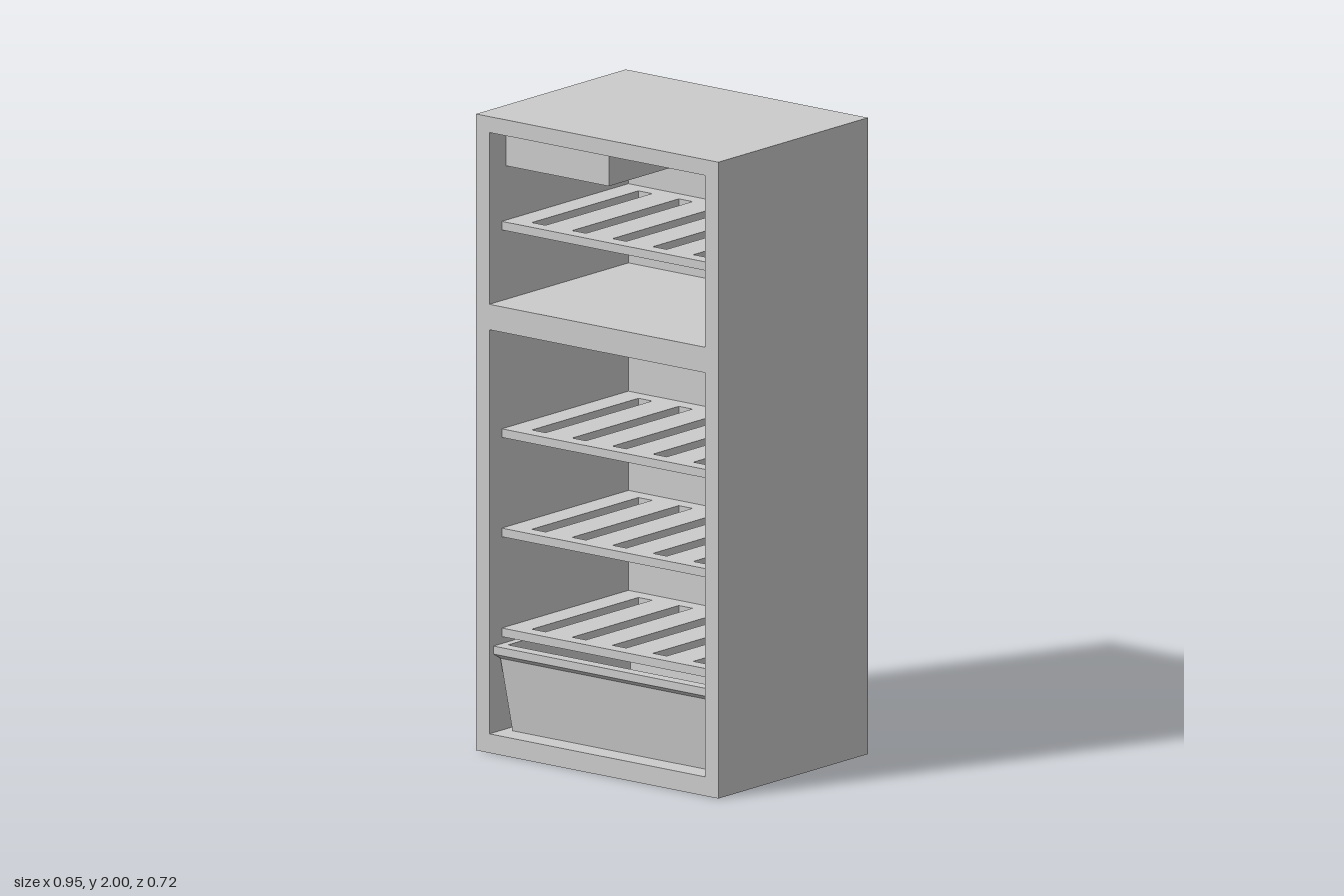
import * as THREE from 'three';

const material = new THREE.MeshStandardMaterial({ color: 0xcccccc, flatShading: true });
const BACK = -0.31, FRONT = 0.36, INNER = 0.425;

function addMesh(parent, name, geometry, x = 0, y = 0, z = 0) {
  const mesh = new THREE.Mesh(geometry, material);
  mesh.name = name;
  mesh.position.set(x, y, z);
  parent.add(mesh);
  return mesh;
}

function rectangle(Type, x0, y0, x1, y1) {
  return new Type([[x0, y0], [x1, y0], [x1, y1], [x0, y1]].map(p => new THREE.Vector2(...p)));
}

function extrude(shape, depth) {
  return new THREE.ExtrudeGeometry(shape, { depth, bevelEnabled: false });
}

// Skin over a stack of rectangles [y, half width, back z, front z], capped at both ends
function loftRectangles(rings) {
  const loops = rings.map(([y, w, b, f]) => [[-w, y, f], [w, y, f], [w, y, b], [-w, y, b]]);
  const positions = [];
  const quad = (a, b, c, d) => positions.push(...a, ...b, ...c, ...a, ...c, ...d);
  for (let i = 0; i < loops.length - 1; i++) {
    for (let k = 0; k < 4; k++) {
      const n = (k + 1) % 4;
      quad(loops[i][k], loops[i][n], loops[i + 1][n], loops[i + 1][k]);
    }
  }
  quad(...[...loops[0]].reverse());
  quad(...loops[loops.length - 1]);
  const geometry = new THREE.BufferGeometry();
  geometry.setAttribute('position', new THREE.Float32BufferAttribute(positions, 3));
  geometry.computeVertexNormals();
  return geometry;
}

// Flat shelf with five slots running front to back
function shelfGeometry(thickness) {
  const front = 0.3;
  const shape = rectangle(THREE.Shape, -INNER, -front, INNER, -BACK);
  for (let i = -2; i <= 2; i++) {
    const x = i * 0.159;
    shape.holes.push(rectangle(THREE.Path, x - 0.027, -front + 0.047, x + 0.027, -BACK - 0.05));
  }
  return extrude(shape, thickness).rotateX(-Math.PI / 2);
}

export function createModel() {
  const model = new THREE.Group();
  model.name = 'refrigerator';

  // Cabinet with an upper and a lower compartment
  const cabinet = new THREE.Group();
  cabinet.name = 'cabinet';
  model.add(cabinet);
  const frame = rectangle(THREE.Shape, -0.477, 0, 0.477, 2);
  frame.holes.push(
    rectangle(THREE.Path, -INNER, 1.41, INNER, 1.95),
    rectangle(THREE.Path, -INNER, 0.06, INNER, 1.33)
  );
  addMesh(cabinet, 'frame', extrude(frame, FRONT - BACK), 0, 0, BACK);
  addMesh(cabinet, 'backPanel', new THREE.BoxGeometry(0.954, 2, 0.05), 0, 1, -0.335);

  // Slotted shelves
  const shelf = shelfGeometry(0.027);
  [0.354, 0.668, 0.98, 1.632].forEach((y, i) => addMesh(model, `shelf${i + 1}`, shelf, 0, y, 0));

  // Box hanging in the upper corner
  addMesh(model, 'iceBox', new THREE.BoxGeometry(0.405, 0.12, 0.59), -0.2225, 1.89, -0.015);

  // Tapered open drawer: up the outside, over the lip, down the inside
  addMesh(model, 'drawer', loftRectangles([
    [0.06, 0.395, -0.28, 0.285],
    [0.29, 0.418, -0.3, 0.315],
    [0.307, 0.425, -0.305, 0.34],
    [0.332, 0.425, -0.305, 0.34],
    [0.332, 0.4, -0.285, 0.3],
    [0.08, 0.375, -0.26, 0.265]
  ]));

  return model;
}
